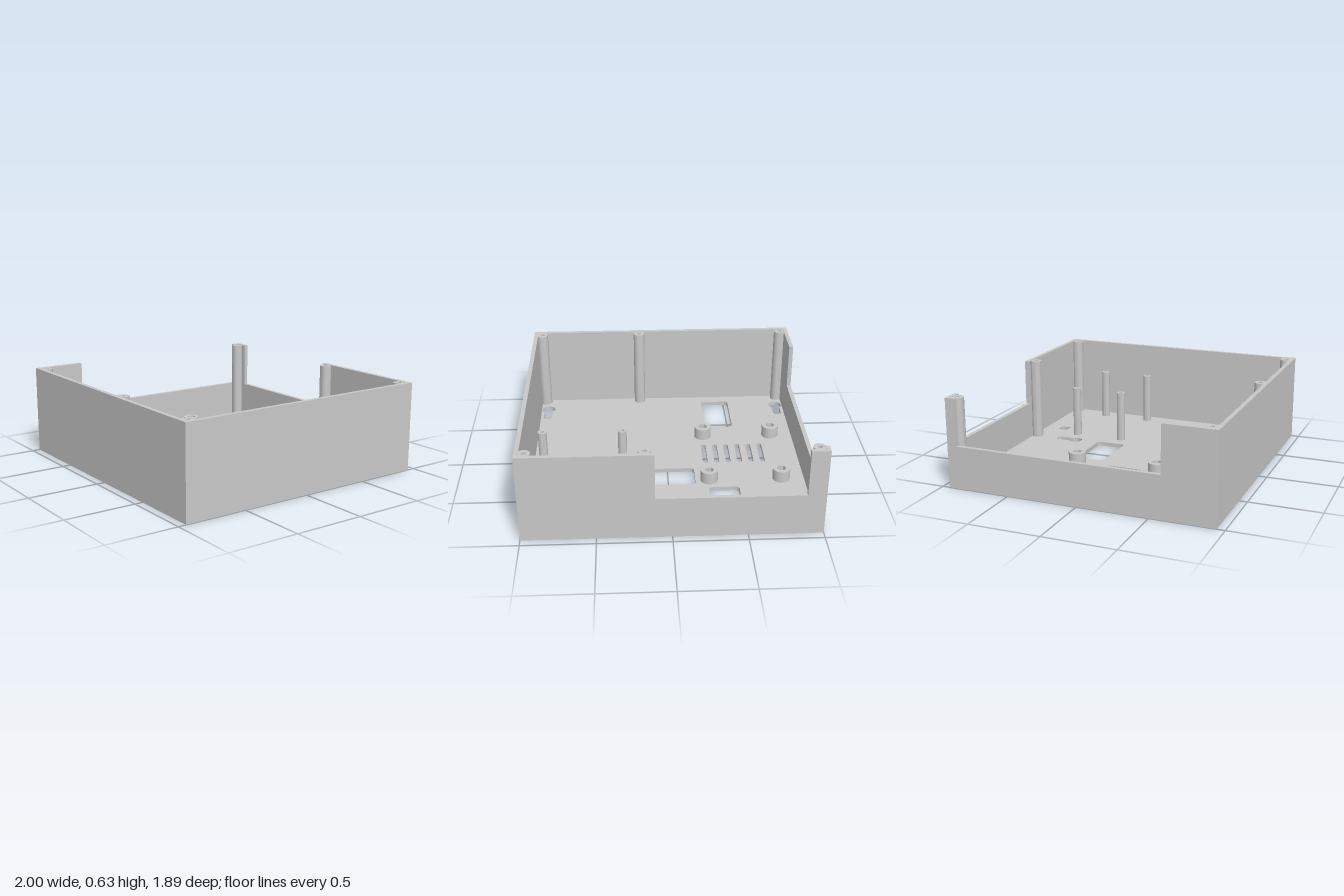
import * as THREE from 'three';
import { toCreasedNormals } from 'three/addons/utils/BufferGeometryUtils.js';

const W = 1, D = 0.945, H = 0.632, T = 0.03; // half width, half depth, height, thickness

// Outlines are drawn in plan: shape x = x, shape y = -z
function roundedRect(x0, z0, x1, z1, r) {
  const p = new THREE.Path();
  const y0 = -z1, y1 = -z0;
  p.moveTo(x0 + r, y0);
  p.lineTo(x1 - r, y0);
  p.absarc(x1 - r, y0 + r, r, -Math.PI / 2, 0);
  p.lineTo(x1, y1 - r);
  p.absarc(x1 - r, y1 - r, r, 0, Math.PI / 2);
  p.lineTo(x0 + r, y1);
  p.absarc(x0 + r, y1 - r, r, Math.PI / 2, Math.PI);
  p.lineTo(x0, y0 + r);
  p.absarc(x0 + r, y0 + r, r, Math.PI, Math.PI * 1.5);
  return p;
}

function circle(x, z, r, Kind = THREE.Path) {
  return new Kind().absarc(x, -z, r, 0, Math.PI * 2);
}

function polygon(points, Kind = THREE.Path) {
  return new Kind(points.map(p => new THREE.Vector2(...p)));
}

function hexagon(r) {
  const p = polygon([...Array(6).keys()].map(i =>
    [r * Math.cos(i * Math.PI / 3), r * Math.sin(i * Math.PI / 3)]));
  p.closePath();
  return p;
}

// Round hanging hole with a narrow slot toward the back
function keyhole(x, z, slotEnd) {
  const R = 0.05, r = 0.031, a = Math.acos(r / R);
  const p = new THREE.Path();
  p.absarc(x, -z, R, Math.PI - a, Math.PI * 2 + a);
  p.lineTo(x + r, -(slotEnd + r));
  p.absarc(x, -(slotEnd + r), r, 0, Math.PI);
  p.closePath();
  return p;
}

function extrude(shape, depth) {
  return new THREE.ExtrudeGeometry(shape, { depth, bevelEnabled: false, curveSegments: 16 });
}

function slab(shape, y0, y1) {
  const g = extrude(shape, y1 - y0).rotateX(-Math.PI / 2).translate(0, y0, 0);
  return toCreasedNormals(g, 0.6);
}

export function createModel() {
  const group = new THREE.Group();
  const grey = new THREE.MeshStandardMaterial({ color: 0xc8c8c8 });
  grey.name = 'light grey plastic';
  const add = (name, geometry, x = 0, z = 0) => {
    const m = new THREE.Mesh(geometry, grey);
    m.name = name;
    m.position.set(x, 0, z);
    group.add(m);
  };

  const standoffs = [[-0.807, -0.322], [-0.291, -0.322], [-0.807, 0.289], [-0.291, 0.289]];

  // Floor with its cutouts
  const floor = polygon([[-W, -D], [W, -D], [W, D], [-W, D]], THREE.Shape);
  floor.holes.push(
    roundedRect(-0.497, -0.832, -0.283, -0.42, 0.03),
    roundedRect(-0.192, -0.378, 0.208, -0.165, 0.03),
    roundedRect(-0.533, 0.418, -0.318, 0.83, 0.03),
    roundedRect(0.382, -0.806, 0.457, -0.732, 0.001),
    keyhole(0.178, -0.56, -0.715),
    keyhole(-0.916, 0.758, 0.603),
    keyhole(0.914, 0.758, 0.603));
  for (let i = 0; i < 6; i++) {
    const x = -0.706 + i * 0.0845;
    floor.holes.push(roundedRect(x - 0.018, -0.097, x + 0.018, 0.158, 0.0175));
  }
  standoffs.forEach(([x, z]) => floor.holes.push(circle(x, z, 0.018)));
  add('floor', slab(floor, 0, T));

  // Walls: the back and right ones drop to a low sill between a and b
  const sill = 0.3;
  const wall = (half, a, b) => {
    const pts = [[-half, T], [half, T], [half, H]];
    if (b > a) pts.push([b, H], [b, sill], [a, sill], [a, H]);
    pts.push([-half, H]);
    return extrude(polygon(pts, THREE.Shape), T);
  };
  add('frontWall', wall(W, 0, 0).translate(0, 0, D - T));
  add('backWall', wall(W, -0.875, 0.115).translate(0, 0, -D));
  // Side walls: profile x becomes -z
  add('leftWall', wall(D - T, 0, 0).rotateY(Math.PI / 2).translate(W - T, 0, 0));
  add('rightWall', wall(D - T, -0.579, 0.875).rotateY(Math.PI / 2).translate(-W, 0, 0));

  // Hollow round posts
  const tube = (r, hole, y0, y1) => {
    const s = circle(0, 0, r, THREE.Shape);
    s.holes.push(hole);
    return slab(s, y0, y1);
  };

  // Lid screw posts along the front and back walls
  for (const z of [-0.884, 0.884])
    for (const x of [-0.937, 0.178, 0.937])
      add('lidPost', tube(0.042, circle(0, 0, 0.015), T, H - 0.002), x, z);

  // Slim board posts
  for (const x of [0.32, 0.878])
    for (const z of [-0.606, -0.238])
      add('boardPost', tube(0.031, circle(0, 0, 0.014), T, 0.405), x, z);

  // Short standoffs with a hexagonal nut pocket
  for (const [x, z] of standoffs) {
    add('standoffBase', tube(0.062, circle(0, 0, 0.018), T, 0.07), x, z);
    add('standoffPocket', tube(0.062, hexagon(0.033), 0.07, 0.115), x, z);
  }
  return group;
}
